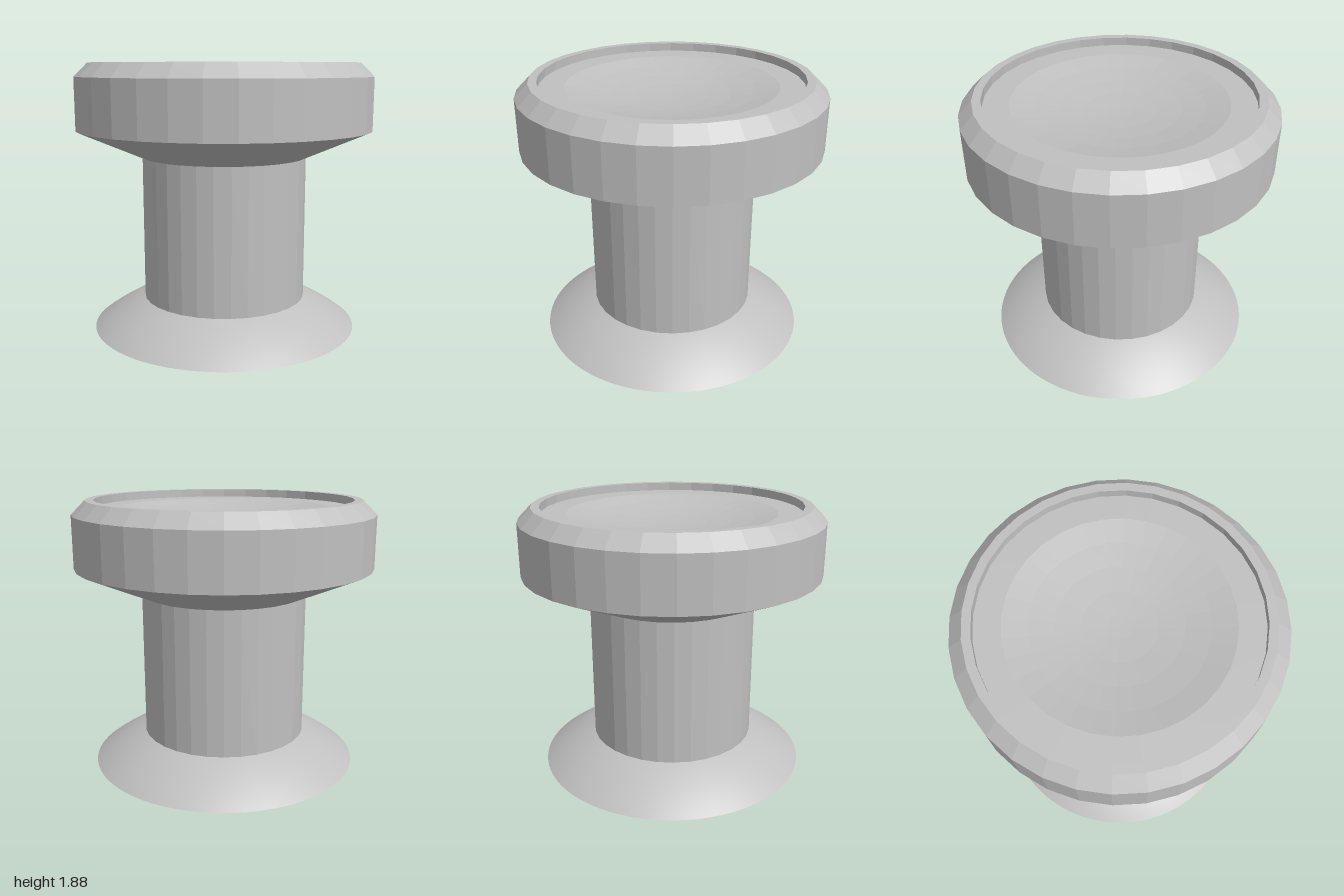
import * as THREE from 'three';

const V = (x, y) => new THREE.Vector2(x, y);

// Points on an arc, endpoints included
function arc(radius, from, to, steps) {
  return Array.from({ length: steps + 1 }, (_, i) => {
    const a = from + (to - from) * i / steps;
    return V(radius * Math.cos(a), radius * Math.sin(a));
  });
}

// Turned solid with flat facets
function faceted(points, sides = 32) {
  const g = new THREE.LatheGeometry(points, sides).toNonIndexed();
  g.computeVertexNormals();
  return g;
}

export function createModel() {
  const group = new THREE.Group();
  const grey = new THREE.MeshStandardMaterial({ color: 0xc0c0c0 });
  grey.name = 'plain grey';
  const add = (name, geometry) => {
    const mesh = new THREE.Mesh(geometry, grey);
    mesh.name = name;
    group.add(mesh);
    return mesh;
  };

  // Head: flared underside, chamfered rim, recessed floor
  const floorY = 1.825;
  add('head', faceted([
    V(0.55, 1.25), V(0.56, 1.25), V(1, 1.44), V(1, 1.79), V(0.91, 1.88),
    V(0.855, 1.88), V(0.855, floorY), V(0.69, floorY),
  ]));

  // Shallow spherical finger dish in the head
  const depth = 0.08;
  const dishR = (0.69 ** 2 + depth ** 2) / (2 * depth);
  const dish = [0.69, 0.54, 0.385, 0.23, 0.077, 0].map(
    r => V(r, floorY - depth + dishR - Math.sqrt(dishR ** 2 - r ** 2)));
  add('fingerDish', faceted(dish));

  // Stem
  add('stem', faceted([V(0.56, 0.24), V(0.56, 1.25)]));

  // Domed skirt: a smooth slice of a large sphere
  const cy = -1.116, skirtR = 1.495;
  const skirt = [];
  for (let i = 0; i <= 10; i++) {
    const r = 0.91 - 0.37 * i / 10;
    skirt.push(V(r, cy + Math.sqrt(skirtR ** 2 - r ** 2)));
  }
  const skirtY = skirt[0].y;
  add('skirt', new THREE.LatheGeometry(skirt, 96));
  add('skirtUnderside', new THREE.LatheGeometry([V(0.42, skirtY), V(0.91, skirtY)], 96));

  // Foot with a socket that has two flat sides
  const foot = new THREE.Shape(arc(0.435, 0, Math.PI * 2, 32).slice(0, -1));
  const q = Math.PI / 4;
  const socket = [...arc(0.25, q, 3 * q, 16), ...arc(0.25, 5 * q, 7 * q, 16)];
  foot.holes.push(new THREE.Path(socket));
  const footGeometry = new THREE.ExtrudeGeometry(foot, { depth: 0.7, bevelEnabled: false });
  footGeometry.rotateX(-Math.PI / 2);
  add('foot', footGeometry);

  // Closed end of the socket, facing down
  const end = new THREE.CircleGeometry(0.3, 32);
  end.rotateX(Math.PI / 2);
  add('socketEnd', end).position.y = 0.7;

  return group;
}
